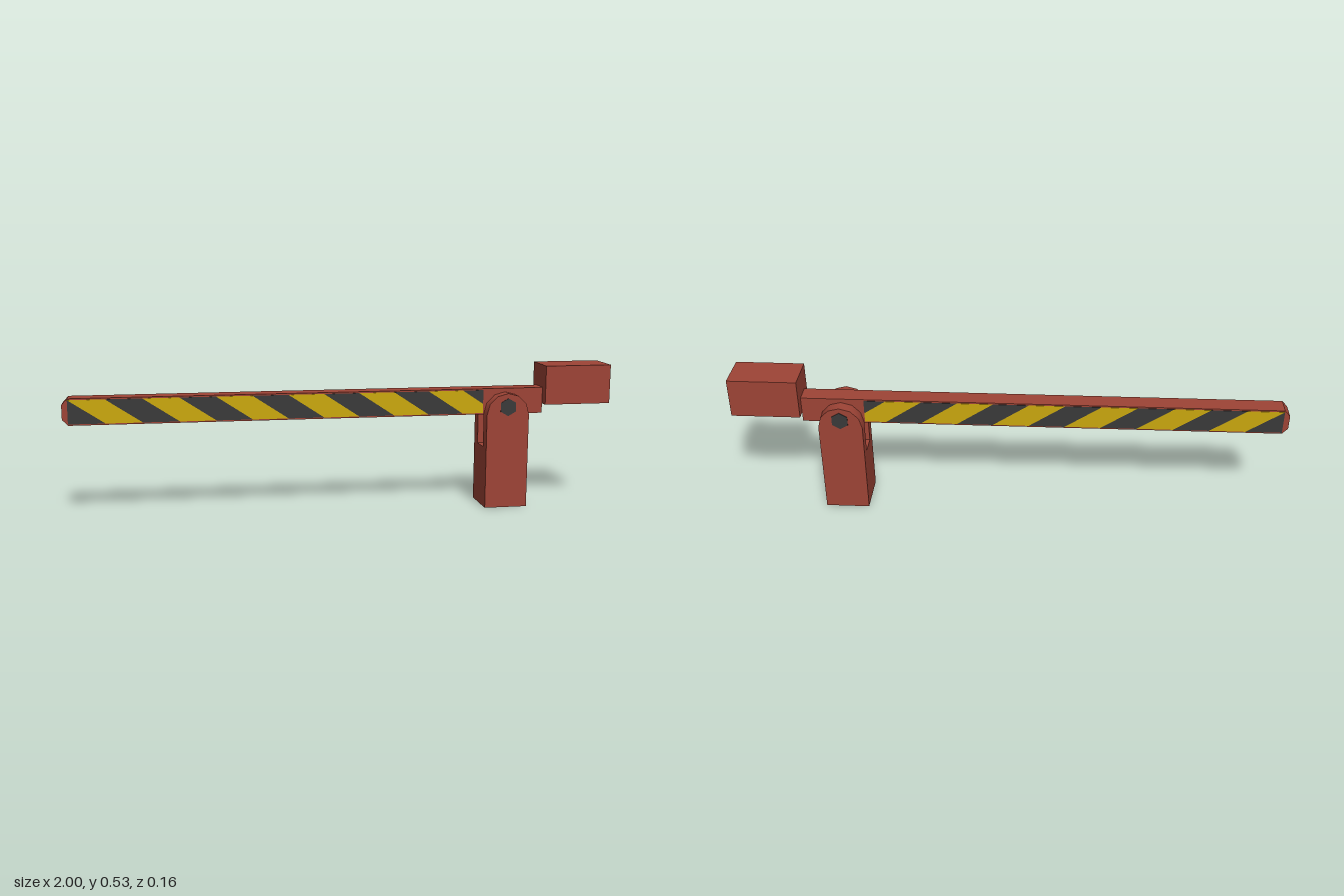
import * as THREE from 'three';
import { toCreasedNormals } from 'three/addons/utils/BufferGeometryUtils.js';

const paint = (name, color) => {
  const m = new THREE.MeshStandardMaterial({ color });
  m.name = name;
  return m;
};

// Extrudes an [x, y] outline between two z values.
function slab(name, points, z0, z1, material) {
  const shape = new THREE.Shape(points.map(([x, y]) => new THREE.Vector2(x, y)));
  const geo = new THREE.ExtrudeGeometry(shape, { depth: z1 - z0, bevelEnabled: false });
  geo.translate(0, 0, z0);
  const mesh = new THREE.Mesh(toCreasedNormals(geo, 0.6), material);
  mesh.name = name;
  return mesh;
}

// Keeps the part of a convex outline on one side of a vertical line.
function clipX(points, limit, sign) {
  const out = [];
  points.forEach((a, i) => {
    const b = points[(i + 1) % points.length];
    const da = sign * (a[0] - limit), db = sign * (b[0] - limit);
    if (da >= 0) out.push(a);
    if (da * db < 0) {
      const t = da / (da - db);
      out.push([limit, a[1] + t * (b[1] - a[1])]);
    }
  });
  return out;
}

export function createModel() {
  const group = new THREE.Group();
  const red = paint('red paint', 0x9e4436);
  red.side = THREE.DoubleSide;
  const yellow = paint('yellow stripe', 0xcba80e);
  const dark = paint('dark grey', 0x3a3a3a);

  // Hollow lower post, open underneath
  const px = 0.605, half = 0.08, slotY = 0.225;
  const base = new THREE.BoxGeometry(half * 2, slotY, half * 2);
  const index = Array.from(base.index.array);
  index.splice(18, 6);
  base.setIndex(index);
  base.clearGroups();
  const post = new THREE.Mesh(base, red);
  post.name = 'postBase';
  post.position.set(px, slotY / 2, 0);
  group.add(post);

  // Two round-topped cheeks either side of the arm
  const cheek = [[px - half, slotY], [px + half, slotY]];
  for (let i = 0; i <= 6; i++) {
    const a = (i / 6) * Math.PI;
    cheek.push([px + half * Math.cos(a), 0.35 + half * Math.sin(a)]);
  }
  group.add(slab('frontCheek', cheek, 0.036, half, red));
  group.add(slab('backCheek', cheek, -half, -0.036, red));

  // Hexagonal pivot bolt heads
  const bolt = [];
  for (let i = 0; i < 6; i++) {
    const a = Math.PI / 2 + (i / 6) * Math.PI * 2;
    bolt.push([px + 0.033 * Math.cos(a), 0.379 + 0.033 * Math.sin(a)]);
  }
  group.add(slab('frontBolt', bolt, half - 0.004, half + 0.002, dark));
  group.add(slab('backBolt', bolt, -half - 0.002, -half + 0.004, dark));

  // Barrier arm with a chamfered tip
  const armZ = 0.034, low = 0.347, high = 0.443;
  group.add(slab('arm', [
    [-0.98, low], [0.75, low], [0.75, high], [-0.98, high], [-1, high - 0.022], [-1, low + 0.022],
  ], -armZ, armZ, red));

  // Counterweight
  const weight = new THREE.Mesh(new THREE.BoxGeometry(0.25, 0.144, 0.14), red);
  weight.name = 'counterweight';
  weight.position.set(0.875, 0.455, 0);
  group.add(weight);

  // Slanted warning stripes on both sides of the arm
  const start = -0.98, end = 0.522, w = 0.1295, y0 = 0.352, y1 = 0.438;
  for (let k = -1; k < 12; k++) {
    const x = start + k * w;
    let stripe = [[x + w, y0], [x + 2 * w, y0], [x + w, y1], [x, y1]];
    stripe = clipX(clipX(stripe, start, 1), end, -1);
    if (stripe.length < 3) continue;
    const material = k % 2 === 0 ? yellow : dark;
    group.add(slab('frontStripe', stripe, armZ - 0.001, armZ + 0.0015, material));
    group.add(slab('backStripe', stripe, -armZ - 0.0015, -armZ + 0.001, material));
  }
  return group;
}
